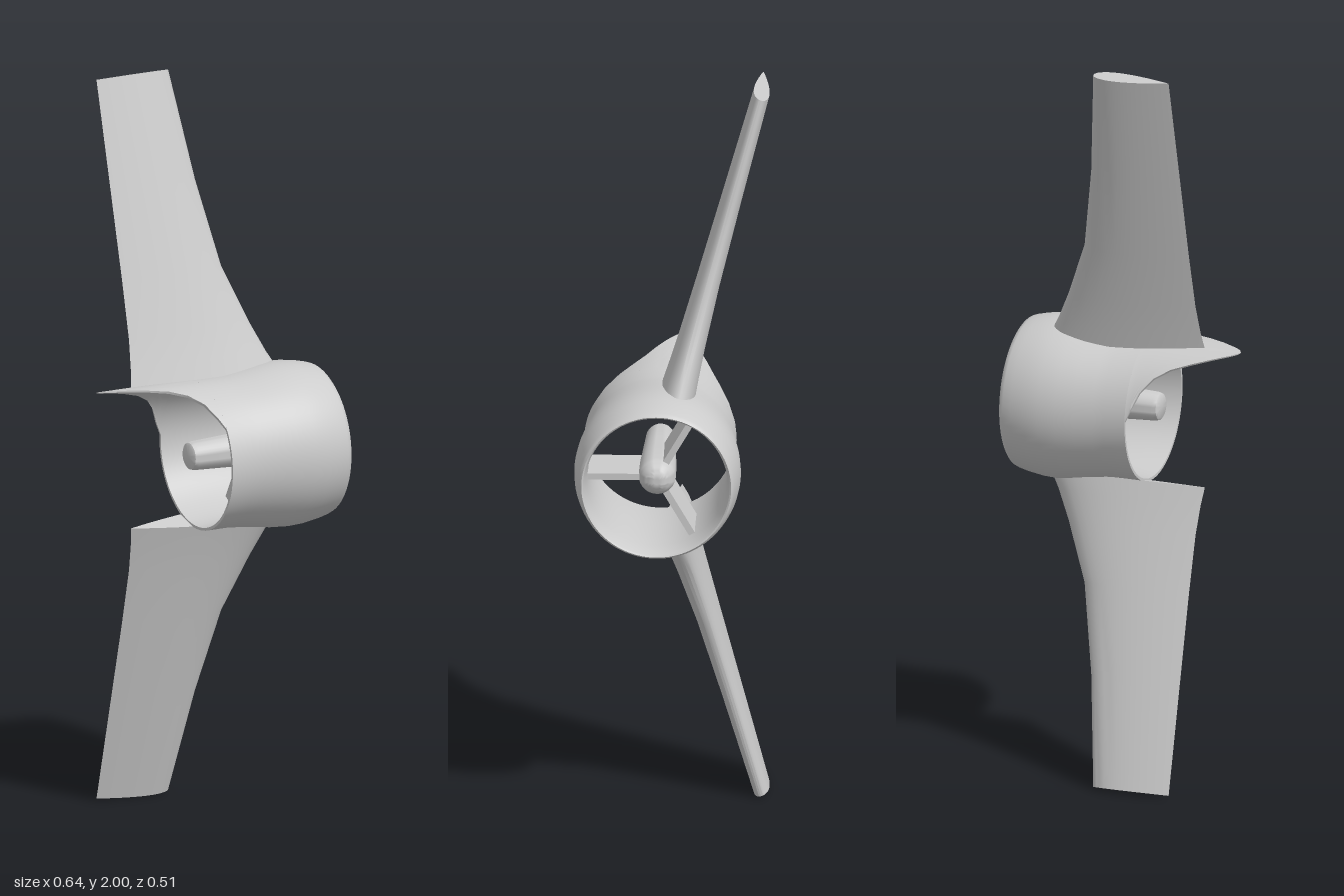
import * as THREE from 'three';
import { toCreasedNormals } from 'three/addons/utils/BufferGeometryUtils.js';

const TILT = THREE.MathUtils.degToRad(15.2);
const material = new THREE.MeshStandardMaterial({ color: 0xcccccc, side: THREE.DoubleSide });

function part(name, geometry, parent, crease = 0.6) {
  const mesh = new THREE.Mesh(toCreasedNormals(geometry, crease), material);
  mesh.name = name;
  parent.add(mesh);
  return mesh;
}

// Skin a list of closed rings (counter-clockwise seen from +y, listed upwards) and cap both ends
function loft(rings) {
  const n = rings[0].length, pos = [], idx = [];
  rings.forEach(r => r.forEach(p => pos.push(...p)));
  for (let i = 0; i < rings.length - 1; i++) {
    for (let j = 0; j < n; j++) {
      const k = (j + 1) % n, a = i * n, b = a + n;
      idx.push(a + j, a + k, b + j, a + k, b + k, b + j);
    }
  }
  // strips across the ring work for both the foil and the curved sheet
  const last = (rings.length - 1) * n;
  for (let j = 0; j < n / 2 - 1; j++) {
    const a = j, b = j + 1, c = n - 1 - j, d = n - 2 - j;
    idx.push(a, c, b, b, c, d);
    idx.push(last + a, last + b, last + c, last + b, last + d, last + c);
  }
  const g = new THREE.BufferGeometry();
  g.setAttribute('position', new THREE.Float32BufferAttribute(pos, 3));
  g.setIndex(idx);
  return g;
}

// Symmetric foil with a round nose at +x and a sharp tail at -x
function foilRing(y, tail, nose, half) {
  const n = 18, ring = [];
  const point = (t, side) => {
    const s = (1 - Math.cos(Math.PI * t)) / 2;
    const h = 10 * (0.2969 * Math.sqrt(s) - 0.126 * s - 0.3516 * s ** 2 + 0.2843 * s ** 3 - 0.1036 * s ** 4);
    return [nose + (tail - nose) * s, y, side * h * half];
  };
  for (let i = 0; i <= n; i++) ring.push(point(i / n, -1));
  for (let i = n; i >= 0; i--) ring.push(point(i / n, 1));
  return ring;
}

function bladeGeometry() {
  // radius, tail x, nose x, half thickness
  const stations = [
    [0.2, -0.215, 0.228, 0.047], [0.25, -0.208, 0.2, 0.043], [0.33, -0.202, 0.163, 0.038],
    [0.49, -0.2, 0.1, 0.032], [0.73, -0.2, 0.055, 0.027], [1.03, -0.2, 0.017, 0.022],
  ];
  return loft(stations.map(s => foilRing(...s)));
}

// Curved sheet continuing the duct wall backwards to a point
function tongueGeometry() {
  // x, half angle in degrees, inner radius
  const stations = [
    [-0.318, 0.6, 0.201], [-0.314, 2.5, 0.2005], [-0.3, 5.5, 0.2], [-0.25, 13, 0.199], [-0.2, 20, 0.198],
    [-0.15, 27, 0.197], [-0.11, 36, 0.196], [-0.08, 48, 0.196], [-0.06, 62, 0.196], [-0.045, 72, 0.196],
  ];
  const n = 28;
  return loft(stations.map(([y, deg, inner]) => {
    const half = THREE.MathUtils.degToRad(deg), ring = [];
    const add = (u, r) => {
      const a = TILT + u * half;
      ring.push([-r * Math.cos(a), y, -r * Math.sin(a)]);
    };
    for (let i = 0; i <= n; i++) add(1 - 2 * i / n, 0.2035);
    for (let i = 0; i <= n; i++) add(-1 + 2 * i / n, inner);
    return ring;
  }));
}

const lathe = (pts, sides) => new THREE.LatheGeometry(pts.map(([x, r]) => new THREE.Vector2(r, x)), sides);

export function createModel() {
  const model = new THREE.Group();
  model.name = 'ductedFanWithBlades';
  const body = new THREE.Group();
  body.name = 'body';
  body.position.set(0, 1, 0.037);
  model.add(body);

  // Parts turned around the fan axis: local +y becomes +x
  const turned = new THREE.Group();
  turned.name = 'nacelle';
  turned.rotation.z = -Math.PI / 2;
  body.add(turned);

  // Duct wall with rounded intake lip
  part('duct', lathe([
    [-0.045, 0.196], [-0.045, 0.2035], [0.02, 0.2035], [0.05, 0.206], [0.1, 0.2125], [0.15, 0.219],
    [0.2, 0.2225], [0.24, 0.2205], [0.28, 0.214], [0.305, 0.208], [0.315, 0.204], [0.318, 0.2],
    [0.315, 0.196], [0.3, 0.191], [0.26, 0.187], [0.2, 0.185], [0.1, 0.186], [0.02, 0.19], [-0.045, 0.196],
  ], 72), turned);
  part('ductTongue', tongueGeometry(), turned);

  // Hub with ball nose and flat tail
  const hub = [[-0.07, 0], [-0.07, 0.03], [-0.066, 0.036], [-0.055, 0.039], [0.05, 0.044], [0.15, 0.049]];
  for (let i = 0; i <= 10; i++) {
    const a = i / 10 * Math.PI / 2;
    hub.push([0.225 + 0.05 * Math.sin(a), 0.05 * Math.cos(a)]);
  }
  part('hub', lathe(hub, 32), turned);

  // Three vanes joining hub and duct
  for (let i = 0; i < 3; i++) {
    const vane = part('vane', new THREE.BoxGeometry(0.14, 0.155, 0.018).translate(0.17, 0.113, 0), body);
    vane.rotation.x = Math.PI / 2 + i * Math.PI * 2 / 3;
  }

  // Upper and lower blades, both swept towards the back
  const blade = bladeGeometry();
  part('upperBlade', blade, body).rotation.x = -TILT;
  part('lowerBlade', blade, body).rotation.x = TILT - Math.PI;

  return model;
}
